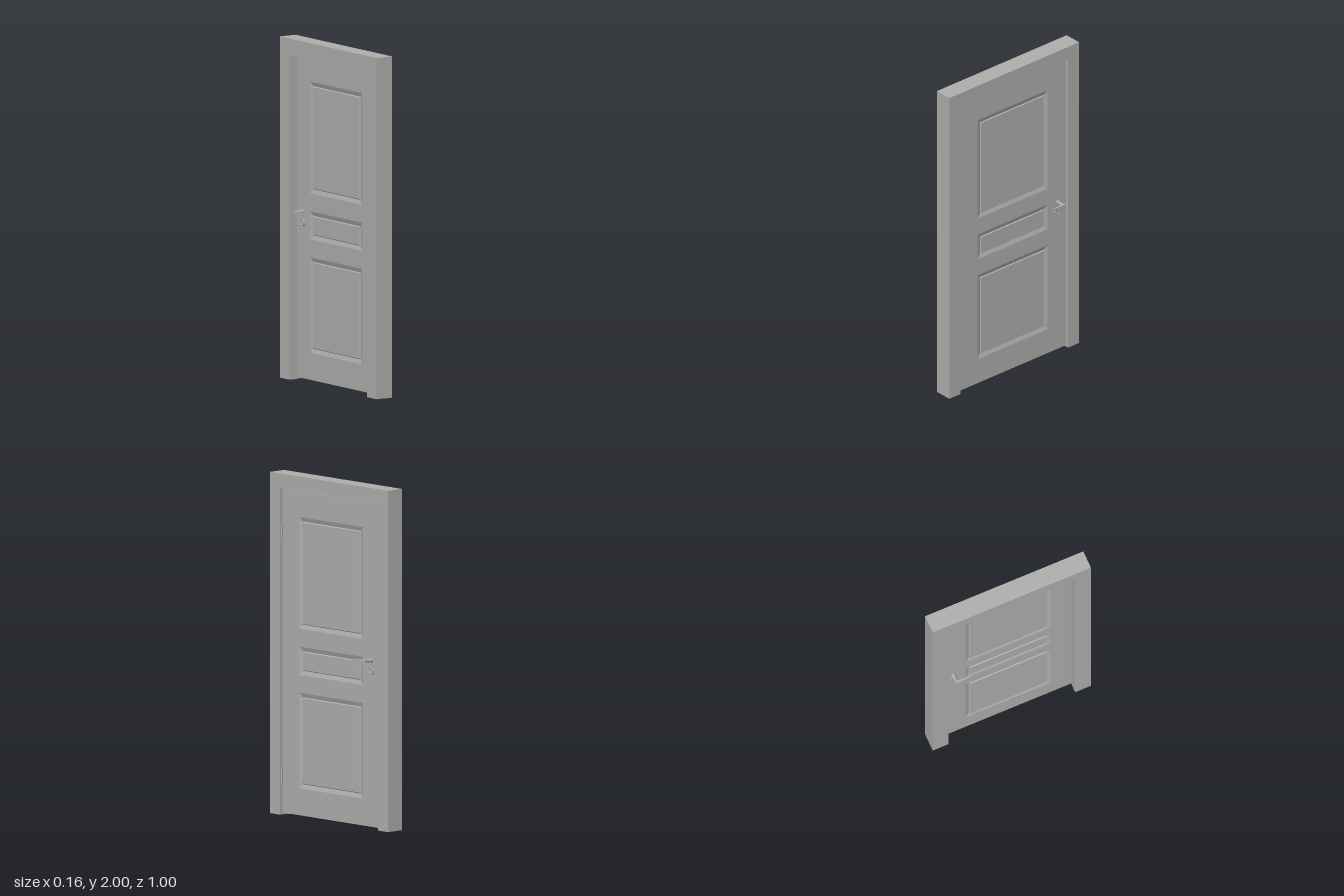
import * as THREE from 'three';

// Flat-shaded skin across matching closed loops of [x, y, z]; optional quad cap on the last loop
function loft(loops, capLast = false) {
  const pos = [];
  const quad = (a, b, c, d) => pos.push(...a, ...b, ...c, ...a, ...c, ...d);
  for (let i = 0; i < loops.length - 1; i++) {
    const p = loops[i], q = loops[i + 1];
    p.forEach((_, j) => {
      const k = (j + 1) % p.length;
      quad(p[j], p[k], q[k], q[j]);
    });
  }
  if (capLast) quad(...loops[loops.length - 1]);
  const g = new THREE.BufferGeometry();
  g.setAttribute('position', new THREE.Float32BufferAttribute(pos, 3));
  g.computeVertexNormals();
  return g;
}

export function createModel() {
  const paint = new THREE.MeshStandardMaterial({ color: 0xb0afad });
  paint.name = 'warm grey';
  const model = new THREE.Group();
  model.name = 'door';
  const add = (parent, name, geometry, x = 0, y = 0, z = 0) => {
    const m = new THREE.Mesh(geometry, paint);
    m.name = name;
    m.position.set(x, y, z);
    parent.add(m);
    return m;
  };

  // Door frame: a rebated profile [inset, x] carried up, across and down
  const profile = [[0, 0.035], [0.085, 0.035], [0.085, -0.022], [0.1, -0.022], [0.1, -0.075], [0, -0.075]];
  const stations = [[1, 0], [1, 1], [-1, 1], [-1, 0]];
  add(model, 'doorFrame', loft(stations.map(([side, top]) =>
    profile.map(([d, x]) => [x, top * (2 - d), side * (0.5 - d)]))));

  // Door leaf with three panel openings
  const HALF = 0.27, FACE = 0.02;
  const panels = [[0.17, 0.73], [0.835, 1.0], [1.105, 1.76]];
  const rect = (Type, w, y0, y1) => {
    const s = new Type();
    s.moveTo(-w, y0).lineTo(w, y0).lineTo(w, y1).lineTo(-w, y1).closePath();
    return s;
  };
  const leaf = rect(THREE.Shape, 0.41, 0.012, 1.91);
  panels.forEach(([y0, y1]) => leaf.holes.push(rect(THREE.Path, HALF, y0, y1)));
  add(model, 'doorLeaf', new THREE.ExtrudeGeometry(leaf, { depth: 2 * FACE, bevelEnabled: false })
    .rotateY(Math.PI / 2).translate(-FACE, 0, 0));

  // Sloped mouldings with a flat raised field, on both faces: [inset, depth]
  const moulding = [[0, 0], [0.025, 0.008], [0.026, 0.008], [0.03, 0.003]];
  for (const [y0, y1] of panels) {
    const g = loft(moulding.map(([t, d]) => {
      const x = FACE - d, w = HALF - t;
      return [[x, y0 + t, w], [x, y0 + t, -w], [x, y1 - t, -w], [x, y1 - t, w]];
    }), true);
    add(model, 'frontPanel', g);
    add(model, 'backPanel', g).rotation.y = Math.PI;
  }

  // Lever handle and lock ring, repeated on both faces by a half turn
  const lever = new THREE.Shape();
  lever.moveTo(0.068, -0.355).lineTo(0.081, -0.355).lineTo(0.081, -0.25)
    .lineTo(0.078, -0.25).lineTo(0.069, -0.325).lineTo(0.068, -0.337).closePath();
  const leverGeo = new THREE.ExtrudeGeometry(lever, { depth: 0.016, bevelEnabled: false })
    .rotateX(Math.PI / 2).translate(0, 0.008, 0);
  const alongX = (r, x0, x1) => new THREE.CylinderGeometry(r, r, x1 - x0, 24)
    .rotateZ(-Math.PI / 2).translate((x0 + x1) / 2, 0, 0);
  const ringGeo = new THREE.LatheGeometry([
    [0.021, 0], [0.021, 0.006], [0.019, 0.008], [0.015, 0.008], [0.015, 0.005], [0, 0.005],
  ].map(([r, h]) => new THREE.Vector2(r, h)).reverse(), 28);
  // Lathe wound outward from base to centre
  const lockGeo = new THREE.LatheGeometry([[0.021, 0], [0.021, 0.006], [0.019, 0.008],
    [0.015, 0.008], [0.015, 0.005], [0, 0.005]].map(([r, h]) => new THREE.Vector2(r, h)), 28)
    .rotateZ(-Math.PI / 2).translate(FACE, 0, 0);
  ringGeo.dispose();
  for (const [side, turn] of [['front', 0], ['back', Math.PI]]) {
    const handle = new THREE.Group();
    handle.name = side + 'Handle';
    handle.position.y = 0.988;
    handle.rotation.z = turn;
    add(handle, 'handleRosette', alongX(0.012, FACE, 0.038), 0, 0, -0.346);
    add(handle, 'handleNeck', alongX(0.009, 0.03, 0.08), 0, 0, -0.346);
    add(handle, 'lever', leverGeo);
    model.add(handle);
    add(model, side + 'LockRing', lockGeo, 0, 0.925, -0.342).rotation.z = turn;
  }

  // Hinges on one edge, latch plate on the other
  for (const y of [0.225, 1.655]) {
    add(model, 'hingeKnuckle', new THREE.CylinderGeometry(0.006, 0.006, 0.105, 12), 0.024, y, 0.412);
  }
  add(model, 'latchPlate', new THREE.BoxGeometry(0.03, 0.12, 0.004), 0.012, 0.91, -0.414);
  return model;
}
